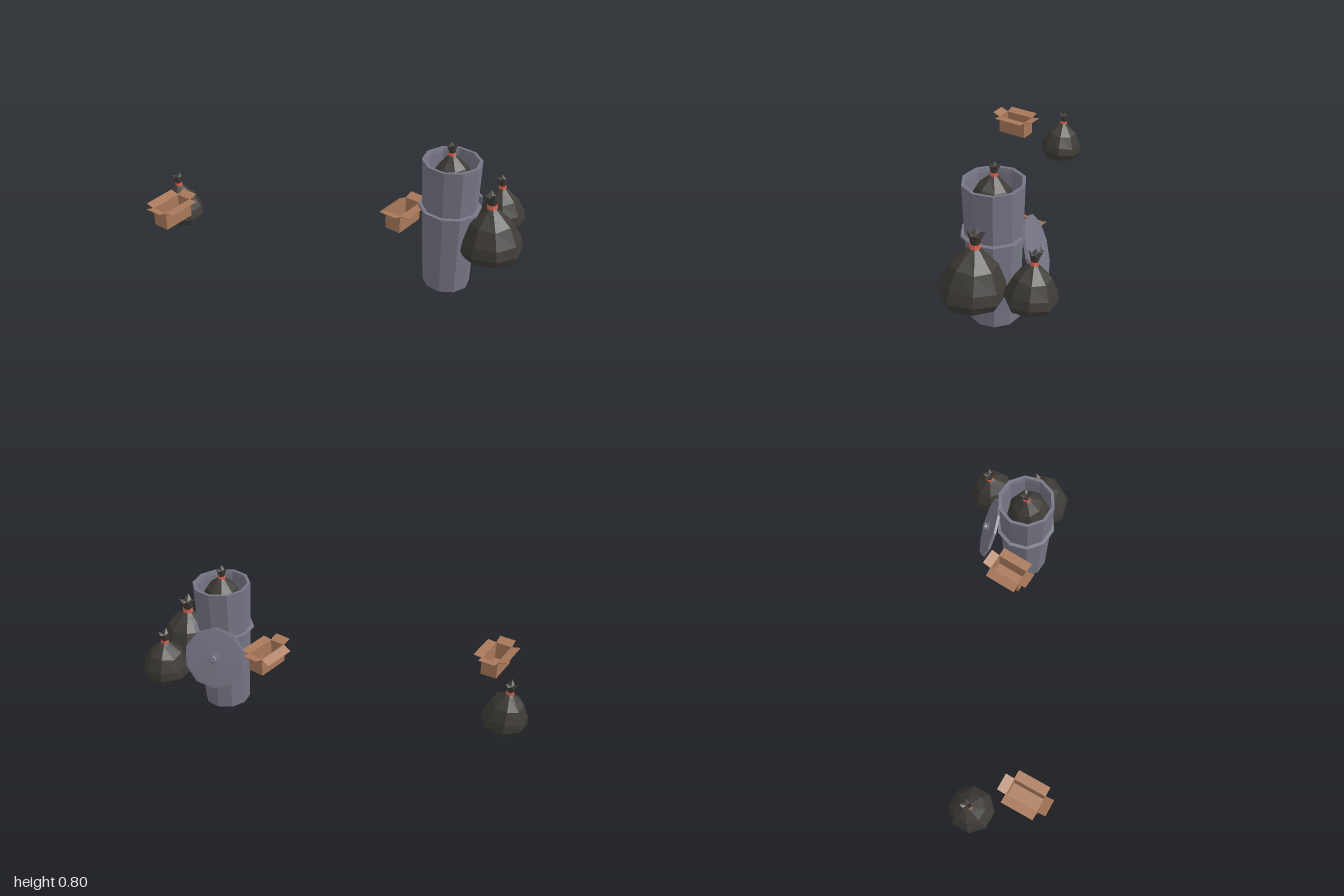
import * as THREE from 'three';

const paint = (color) => new THREE.MeshStandardMaterial({ color, flatShading: true, side: THREE.DoubleSide });
const metal = paint(0x777685);
const plastic = paint(0x3e3b37);
const tie = paint(0xd9634f);
const card = paint(0xa9795a);

function addMesh(parent, name, geometry, material) {
  const mesh = new THREE.Mesh(geometry, material);
  mesh.name = name;
  parent.add(mesh);
  return mesh;
}

function lathe(profile, sides, start = 0) {
  return new THREE.LatheGeometry(profile.map(([r, y]) => new THREE.Vector2(r, y)), sides, start);
}

// Ten-sided hollow can with a raised hoop, leaning very slightly
function makeCan() {
  const geo = lathe([
    [0, 0], [0.122, 0], [0.139, 0.441], [0.158, 0.443], [0.158, 0.455], [0.14, 0.457],
    [0.149, 0.71], [0.133, 0.71], [0.129, 0.69], [0.108, 0.02], [0, 0.02],
  ], 10, THREE.MathUtils.degToRad(28));
  const p = geo.attributes.position;
  for (let i = 0; i < p.count; i++) p.setX(i, p.getX(i) + 0.014 * (1 - p.getY(i) / 0.71));
  const can = new THREE.Group();
  can.name = 'trashCan';
  addMesh(can, 'canBody', geo, metal);
  can.position.set(0.615, 0, 0.005);
  return can;
}

// Round lid leaning against the back of the can
function makeLid() {
  const lid = new THREE.Group();
  lid.name = 'lid';
  addMesh(lid, 'lidPlate', lathe([
    [0, -0.004], [0.15, -0.008], [0.163, -0.008], [0.163, 0.006], [0.15, 0.008], [0, 0.014],
  ], 10), metal);
  addMesh(lid, 'lidKnob', lathe([
    [0.032, 0.01], [0.03, 0.017], [0.017, 0.019], [0.02, 0.034], [0.014, 0.038], [0, 0.038],
  ], 8), metal);
  lid.position.set(0.612, 0.37, -0.19);
  lid.rotation.x = -1.25;
  return lid;
}

// Tied sack: eight-sided body, gathered neck and ragged top
function makeBag(name, [x, y, z], scale, turn) {
  const bag = new THREE.Group();
  bag.name = name;
  const profile = [
    [0, 0], [0.075, 0.002], [0.138, 0.032], [0.158, 0.075], [0.148, 0.13], [0.108, 0.216],
    [0.04, 0.282], [0.023, 0.296], [0.022, 0.316], [0.027, 0.34], [0.039, 0.37], [0, 0.352],
  ];
  const geo = lathe(profile, 8);
  const p = geo.attributes.position;
  const n = profile.length;
  for (let k = 0; k < p.count; k++) {
    const side = Math.floor(k / n) % 8;
    const ring = k % n;
    if (ring === n - 2) {
      const flare = side % 2 ? 0.72 : 1.05;
      p.setXYZ(k, p.getX(k) * flare, p.getY(k) + [0.014, -0.012, 0, -0.016, 0.006, -0.008, 0.003, -0.014][side], p.getZ(k) * flare);
    } else if (ring > 1 && ring < 6) {
      p.setY(k, p.getY(k) + 0.006 * Math.sin(side * 2.4 + ring));
    }
  }
  addMesh(bag, 'bagBody', geo, plastic).rotation.y = turn;
  const band = addMesh(bag, 'bagTie', new THREE.CylinderGeometry(0.025, 0.027, 0.02, 8), tie);
  band.position.y = 0.306;
  band.rotation.y = turn;
  bag.position.set(x, y, z);
  bag.rotation.set(-0.07, 0, 0.075);
  bag.scale.setScalar(scale);
  return bag;
}

// Open carton: floor, four walls and a hinged flap on each wall
function makeCarton(name, [x, y, z], turn, flapAngles) {
  const W = 0.09, L = 0.178, H = 0.1, T = 0.003, F = 0.05;
  const carton = new THREE.Group();
  carton.name = name;
  addMesh(carton, 'cartonFloor', new THREE.BoxGeometry(W, T, L), card).position.y = T / 2;
  for (let i = 0; i < 4; i++) {
    const [width, depth] = i % 2 ? [L, W] : [W, L];
    const side = new THREE.Group();
    side.name = 'cartonSide';
    side.rotation.y = i * Math.PI / 2;
    addMesh(side, 'cartonWall', new THREE.BoxGeometry(width, H, T), card).position.set(0, H / 2, depth / 2 - T / 2);
    const flap = addMesh(side, 'cartonFlap', new THREE.BoxGeometry(width, T, F).translate(0, 0, F / 2), card);
    flap.position.set(0, H - T / 2, depth / 2 - T / 2);
    flap.rotation.x = -flapAngles[i];
    carton.add(side);
  }
  carton.position.set(x, y, z);
  carton.rotation.y = turn;
  return carton;
}

export function createModel() {
  const model = new THREE.Group();
  model.name = 'trashSet';
  model.add(
    makeCan(),
    makeLid(),
    makeBag('largeBag', [0.853, 0.198, 0.066], 1, 0.25),
    makeBag('rearBag', [0.878, 0.233, -0.207], 0.77, 0.1),
    makeBag('farBag', [-0.876, 0.068, -0.076], 0.77, 0),
    makeBag('bagInCan', [0.628, 0.525, 0.02], 0.72, 0.3),
    // flap angles run front, left, back, right
    makeCarton('nearCarton', [0.375, 0.27, -0.055], -0.44, [0.3, 0.1, 0.3, -0.5]),
    makeCarton('farCarton', [-0.81, 0.25, 0.188], -0.38, [0.35, 0.08, 0.2, 0.25]),
  );
  return model;
}
